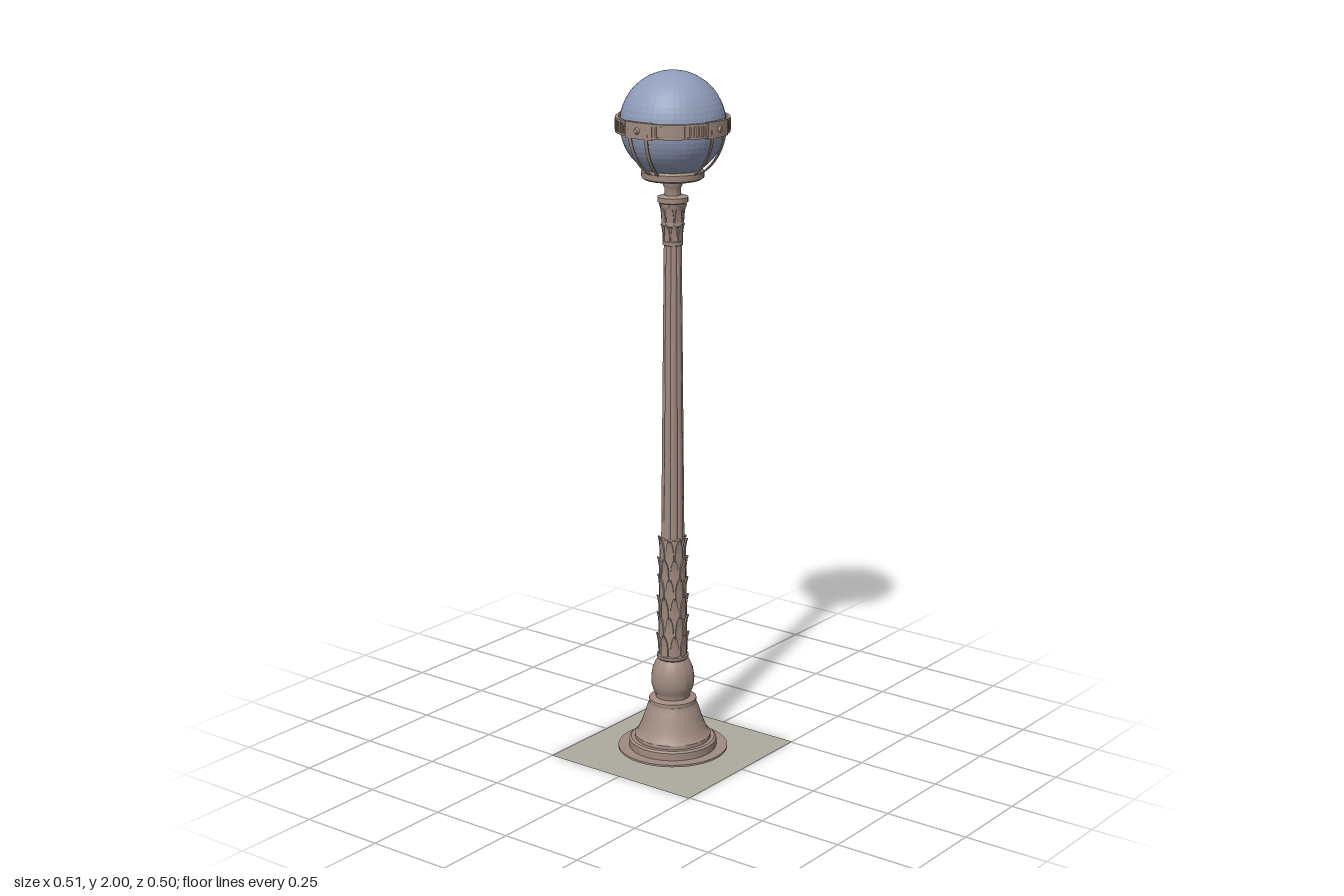
import * as THREE from 'three';
import { toCreasedNormals } from 'three/addons/utils/BufferGeometryUtils.js';

const bronze = new THREE.MeshStandardMaterial({ color: 0xa08b80 });
bronze.name = 'bronze';
const glass = new THREE.MeshStandardMaterial({ color: 0x909cba, flatShading: true });
glass.name = 'frostedGlass';
const stone = new THREE.MeshStandardMaterial({ color: 0xaeaaa0, side: THREE.DoubleSide });
stone.name = 'paving';

const GLOBE_Y = 1.853, GLOBE_R = 0.147;

function add(parent, name, geometry, material = bronze) {
  const mesh = new THREE.Mesh(geometry, material);
  mesh.name = name;
  parent.add(mesh);
  return mesh;
}

function lathe(points, segments = 40, start = 0, length = Math.PI * 2) {
  const g = new THREE.LatheGeometry(points.map(([r, y]) => new THREE.Vector2(r, y)), segments, start, length);
  return toCreasedNormals(g, 0.6);
}

// Move every vertex of a geometry by a rule
function reshape(g, rule) {
  const p = g.attributes.position, v = new THREE.Vector3();
  for (let i = 0; i < p.count; i++) {
    rule(v.fromBufferAttribute(p, i));
    p.setXYZ(i, v.x, v.y, v.z);
  }
  return toCreasedNormals(g, 0.6);
}

// Pointed leaf standing on y = 0 whose tip curls towards +z
function leafGeometry(width, height, curl, lean = 0) {
  return reshape(new THREE.BoxGeometry(width, height, 0.004, 2, 5, 1), (v) => {
    const t = v.y / height + 0.5;
    v.z += curl * t ** 3 + lean * t - 0.2 * Math.abs(v.x);
    v.x *= 1 - 0.7 * t ** 3;
    v.y = t * height - 0.006 * t ** 4;
  });
}

function leafRow(parent, name, geometry, count, radius, y, offset = 0) {
  for (let i = 0; i < count; i++) {
    const a = ((i + offset) / count) * Math.PI * 2;
    const leaf = add(parent, name, geometry);
    leaf.position.set(Math.sin(a) * radius, y, Math.cos(a) * radius);
    leaf.rotation.y = a;
  }
}

// Flat bar that follows the globe from the saucer up to the band
function strapGeometry(side) {
  return reshape(new THREE.BoxGeometry(0.011, 1, 0.003, 1, 14, 1), (v) => {
    const t = v.y + 0.5, elevation = -1.0 * (1 - t), r = 0.157 + v.z;
    v.x += side * (0.011 + 0.018 * Math.sqrt(t));
    v.z = r * Math.cos(elevation);
    v.y = GLOBE_Y + r * Math.sin(elevation);
  });
}

export function createModel() {
  const lamp = new THREE.Group();
  lamp.name = 'streetLamp';

  // Paving square
  const paving = add(lamp, 'pavingSquare', new THREE.PlaneGeometry(0.51, 0.5), stone);
  paving.rotation.x = -Math.PI / 2;

  // Stepped foot, flared skirt and bulb
  add(lamp, 'base', lathe([
    [0, 0.01], [0.16, 0.01], [0.16, 0.016], [0.128, 0.016], [0.128, 0.038], [0.122, 0.043],
    [0.111, 0.043], [0.111, 0.054], [0.104, 0.06], [0.094, 0.082], [0.083, 0.112], [0.075, 0.138],
    [0.068, 0.152], [0.069, 0.156], [0.069, 0.165], [0.062, 0.168], [0.05, 0.17], [0.05, 0.178],
    [0.057, 0.19], [0.062, 0.208], [0.063, 0.23], [0.059, 0.256], [0.051, 0.276], [0.043, 0.288],
    [0.046, 0.292], [0.046, 0.3], [0.036, 0.304],
  ]));

  // Fluted shaft with eight rounded ribs
  const shaft = new THREE.CylinderGeometry(0.025, 0.037, 1.24, 64, 12, true);
  add(lamp, 'flutedShaft', reshape(shaft, (v) => {
    const a = Math.atan2(v.x, v.z);
    const k = 0.84 + 0.16 * Math.sqrt(Math.abs(Math.cos(a * 4)));
    v.x *= k;
    v.z *= k;
    v.y += 0.92;
  }));

  // Sleeve of overlapping leaves on the lower shaft
  const sleeve = new THREE.Group();
  sleeve.name = 'leafSleeve';
  lamp.add(sleeve);
  add(sleeve, 'sleeveCore', lathe([[0.039, 0.29], [0.035, 0.655], [0.03, 0.66]], 24));
  const lowerLeaf = leafGeometry(0.024, 0.075, 0.007);
  for (let i = 0; i < 6; i++) {
    leafRow(sleeve, 'sleeveLeaf', lowerLeaf, 8, 0.0405 - i * 0.0008, 0.297 + i * 0.058, (i % 2) / 2);
  }

  // Capital with leaves and a moulded top
  add(lamp, 'capital', lathe([
    [0.022, 1.512], [0.029, 1.515], [0.029, 1.525], [0.025, 1.53], [0.025, 1.565], [0.031, 1.57],
    [0.031, 1.578], [0.028, 1.583], [0.032, 1.615], [0.038, 1.625], [0.038, 1.633], [0.043, 1.636],
    [0.043, 1.65], [0.034, 1.653], [0.023, 1.655], [0.023, 1.675], [0.027, 1.682], [0.027, 1.705],
  ], 32));
  leafRow(lamp, 'capitalLeaf', leafGeometry(0.018, 0.055, 0.005, 0.002), 8, 0.026, 1.525);
  leafRow(lamp, 'capitalLeaf', leafGeometry(0.02, 0.055, 0.006, 0.003), 8, 0.03, 1.58, 0.5);

  // Saucer and globe
  add(lamp, 'saucer', lathe([
    [0.02, 1.7], [0.08, 1.7], [0.087, 1.705], [0.088, 1.722], [0.082, 1.728], [0.074, 1.728], [0.05, 1.715], [0, 1.715],
  ]));
  const globe = add(lamp, 'globe', new THREE.SphereGeometry(GLOBE_R, 48, 28), glass);
  globe.position.y = GLOBE_Y;

  // Ribbed band around the globe
  const band = new THREE.Group();
  band.name = 'globeBand';
  lamp.add(band);
  const ring = (inner, outer, low, high) => [[inner, low], [outer, low], [outer, high], [inner, high], [inner, low]];
  add(band, 'bandRing', lathe(ring(0.149, 0.156, 1.835, 1.872), 64));
  for (const y of [1.833, 1.868]) add(band, 'bandRim', lathe(ring(0.149, 0.159, y, y + 0.006), 64));
  const rib = new THREE.BoxGeometry(0.006, 0.03, 0.005);
  for (let i = 0; i < 72; i++) {
    const fromPlate = Math.abs(((i + 9) % 18) - 9);
    if (fromPlate < 4) continue;
    const a = (i / 72) * Math.PI * 2;
    const mesh = add(band, 'bandRib', rib);
    mesh.position.set(Math.sin(a) * 0.157, GLOBE_Y, Math.cos(a) * 0.157);
    mesh.rotation.y = a;
  }

  // Four plates, each with a boss and a pair of straps
  const boss = new THREE.CylinderGeometry(0.006, 0.01, 0.007, 12).rotateX(Math.PI / 2);
  const plateEnd = new THREE.BoxGeometry(0.005, 0.045, 0.012);
  const plate = lathe(ring(0.15, 0.161, 1.831, 1.876), 10, -0.27, 0.54);
  const straps = [-1, 1].map(strapGeometry);
  for (let i = 0; i < 4; i++) {
    const bracket = new THREE.Group();
    bracket.name = 'globeBracket';
    bracket.rotation.y = (i * Math.PI) / 2;
    lamp.add(bracket);
    add(bracket, 'bracketPlate', plate);
    add(bracket, 'plateBoss', boss).position.set(0, GLOBE_Y, 0.1635);
    for (const a of [-0.27, 0.27]) {
      const end = add(bracket, 'plateEnd', plateEnd);
      end.position.set(Math.sin(a) * 0.1555, GLOBE_Y, Math.cos(a) * 0.1555);
      end.rotation.y = a;
    }
    for (const g of straps) add(bracket, 'strap', g);
  }
  return lamp;
}
